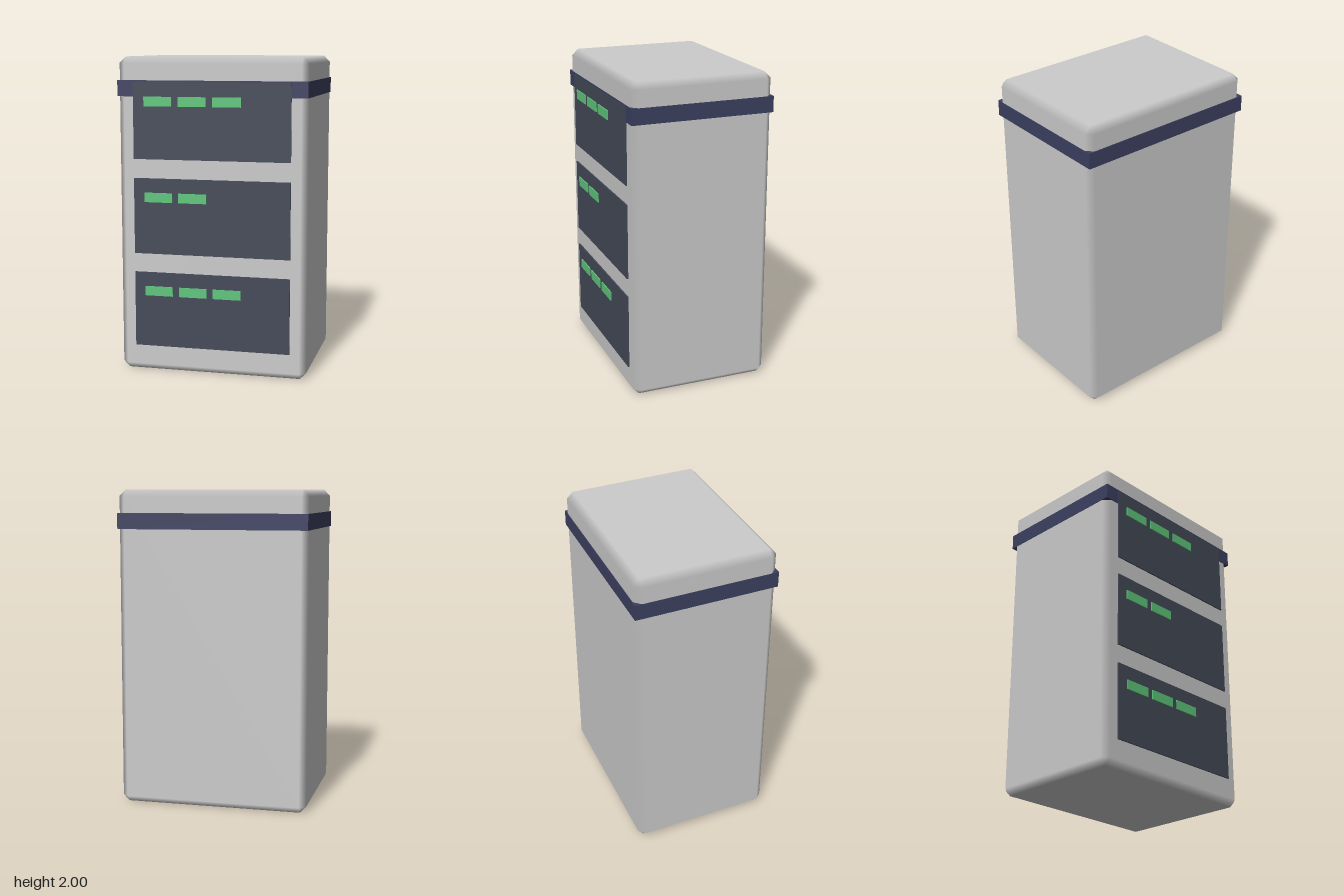
import * as THREE from 'three';
import { ConvexGeometry } from 'three/addons/geometries/ConvexGeometry.js';

const material = (color) => new THREE.MeshStandardMaterial({ color });

// Box with one chamfer on every edge; normals follow the main faces so the chamfers shade smoothly
function chamferedBox(w, h, d, bevel) {
  const half = [w / 2, h / 2, d / 2];
  const points = [];
  for (let axis = 0; axis < 3; axis++)
    for (const sx of [-1, 1]) for (const sy of [-1, 1]) for (const sz of [-1, 1]) {
      const s = [sx, sy, sz];
      points.push(new THREE.Vector3(...half.map((v, i) => s[i] * (i === axis ? v : v - bevel))));
    }
  const geometry = new ConvexGeometry(points);
  const { position, normal } = geometry.attributes;
  for (let i = 0; i < position.count; i++) {
    const p = [position.getX(i), position.getY(i), position.getZ(i)];
    normal.setXYZ(i, ...p.map((v, k) => (Math.abs(v) > half[k] - 1e-4 ? Math.sign(v) : 0)));
  }
  return geometry;
}

export function createModel() {
  const model = new THREE.Group();
  model.name = 'cabinet';

  const add = (name, geometry, mat, x, y, z) => {
    const mesh = new THREE.Mesh(geometry, mat);
    mesh.name = name;
    mesh.position.set(x, y, z);
    model.add(mesh);
  };

  // Cabinet body and the band around its top
  add('body', chamferedBox(1.2, 2, 0.9, 0.04), material(0xcccccc), 0, 1, -0.005);
  add('band', new THREE.BoxGeometry(1.204, 0.1, 0.91), material(0x3c4060), 0, 1.805, -0.005);

  // Three front panels, each with a row of indicator lights
  const panelMaterial = material(0x444a58);
  const lightMaterial = material(0x5fc77c);
  const panelGeometry = new THREE.BoxGeometry(1, 0.48, 0.02);
  const lightGeometry = new THREE.BoxGeometry(0.18, 0.06, 0.015);
  [3, 2, 3].forEach((lights, row) => {
    const y = 0.405 + row * 0.6;
    add('frontPanel', panelGeometry, panelMaterial, 0, y, 0.443);
    for (let i = 0; i < lights; i++)
      add('indicatorLight', lightGeometry, lightMaterial, -0.34 + i * 0.22, y + 0.12, 0.4525);
  });

  return model;
}
